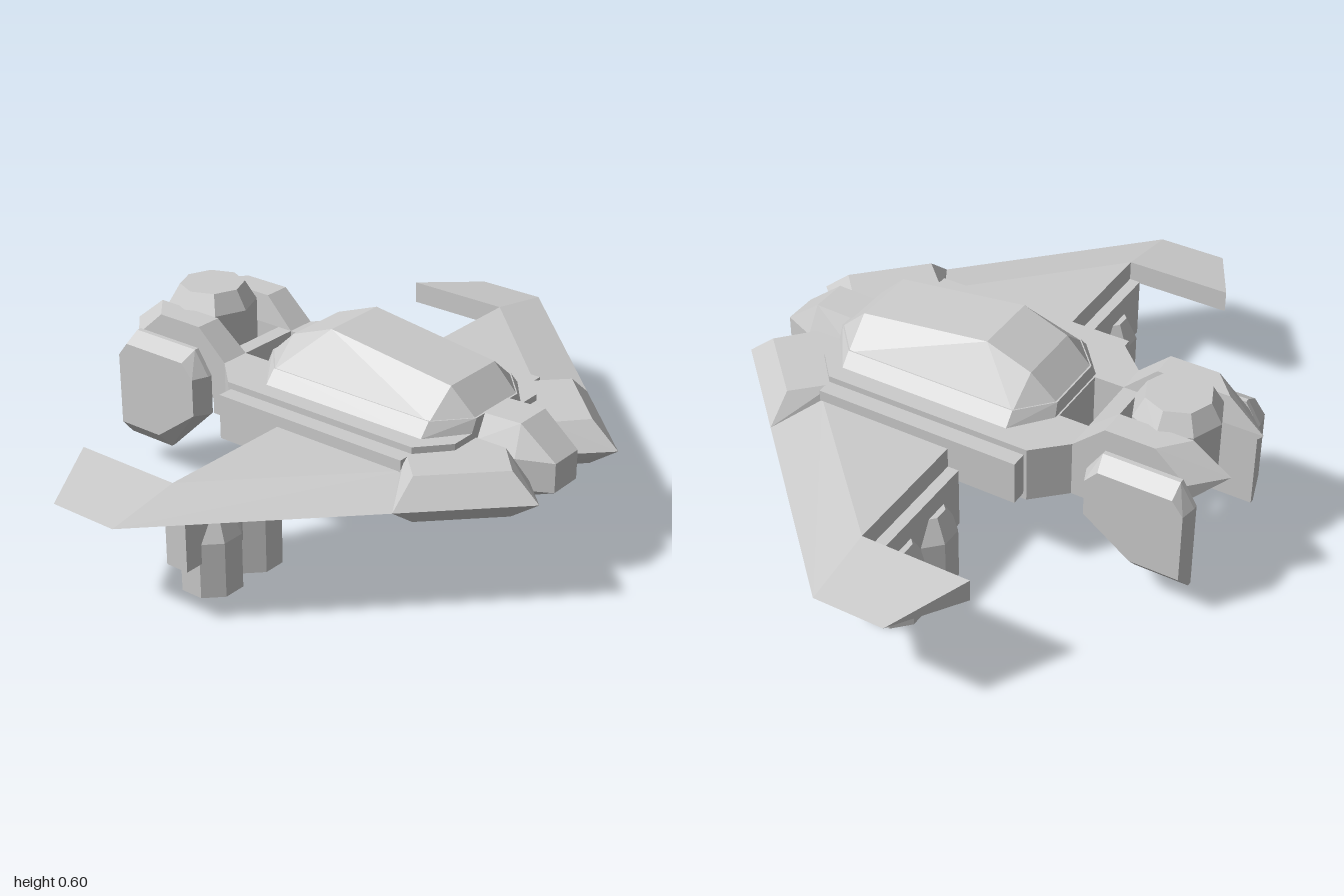
import * as THREE from 'three';
import { ConvexGeometry } from 'three/addons/geometries/ConvexGeometry.js';

const material = new THREE.MeshStandardMaterial({ color: 0xcccccc, flatShading: true });

export function createModel() {
  const ship = new THREE.Group();
  ship.name = 'spacecraft';

  const add = (name, geometry, x = 0, y = 0, z = 0) => {
    const mesh = new THREE.Mesh(geometry, material);
    mesh.name = name;
    mesh.position.set(x, y, z);
    ship.add(mesh);
    return mesh;
  };
  // Faceted solid around a few corner points; side = -1 mirrors it
  const solid = (name, points, side = 1) =>
    add(name, new ConvexGeometry(points.map(([x, y, z]) => new THREE.Vector3(x * side, y, z))));
  // Plan outline [x, z] placed at height y
  const ring = (y, outline) => outline.map(([x, z]) => [x, y, z]);
  // Both halves of a symmetric part
  const both = (points) => points.flatMap(([x, y, z]) => [[x, y, z], [-x, y, z]]);

  // Main hull with the open bay behind the cabin
  const half = [[0.2, 0.5], [0.29, 0.42], [0.29, -0.25], [0.2, -0.345], [0.2, -0.395]];
  const outline = [...half, ...half.map(([x, z]) => [-x, z]).reverse()];
  const hull = new THREE.Shape(outline.map(([x, z]) => new THREE.Vector2(x, -z)));
  hull.holes.push(new THREE.Path([[-0.105, 0.25], [-0.105, 0.345], [0.105, 0.345], [0.105, 0.25]]
    .map(([x, s]) => new THREE.Vector2(x, s))));
  const hullGeometry = new THREE.ExtrudeGeometry(hull, { depth: 0.18, bevelEnabled: false });
  hullGeometry.rotateX(-Math.PI / 2);
  add('hull', hullGeometry, 0, 0.25, 0);

  // Deck, canopy and belly share one chamfered plan
  const plan = [[0.1, 0.5], [0.2, 0.41], [0.2, -0.15], [0.1, -0.24]];
  solid('deck', both([
    ...ring(0.43, [[0.12, 0.5], [0.235, 0.41], [0.235, -0.15], [0.12, -0.245]]),
    ...ring(0.47, plan)]));
  solid('canopy', both([
    ...ring(0.465, plan),
    [0.105, 0.545, 0.415], [0.105, 0.6, -0.01], [0.105, 0.545, -0.155]]));
  solid('belly', both([
    ...ring(0.255, plan),
    ...ring(0.215, [[0.1, 0.44], [0.1, -0.2]])]));

  // Cockpit nose
  solid('cockpit', both([
    [0.06, 0.47, 0.48], [0.06, 0.475, 0.62], [0.1, 0.39, 0.48], [0.1, 0.385, 0.63],
    [0.1, 0.29, 0.48], [0.1, 0.29, 0.63], [0.06, 0.25, 0.48], [0.06, 0.25, 0.62],
    [0.055, 0.385, 0.735], [0.055, 0.295, 0.735]]));

  // Ball turret between the rear claws
  const profile = [[0, 0.27], [0.075, 0.27], [0.135, 0.36], [0.135, 0.51], [0.1, 0.57], [0, 0.57]];
  const turret = new THREE.LatheGeometry(profile.map(([r, y]) => new THREE.Vector2(r, y)), 8);
  add('turret', turret, 0, 0, -0.57);

  for (const side of [1, -1]) {
    // Forward prong with a sharp rim at mid height
    const face = [[0.1, 0.6], [0.2, 0.69], [0.39, 0.5], [0.29, 0.4], [0.1, 0.4]];
    solid('prong', [
      ...ring(0.41, face), ...ring(0.27, face),
      ...ring(0.335, [[0.1, 0.68], [0.2, 0.78], [0.48, 0.5], [0.34, 0.4]])], side);

    // Side sponson along the wing root
    add('sponson', new THREE.BoxGeometry(0.06, 0.14, 0.66), side * 0.31, 0.34, 0.09);

    // Wing: flat inner panel, tapered leading strip, swept-back tip
    const thick = (points) => [...ring(0.375, points), ...ring(0.305, points)];
    const root = [0.33, 0.42], rear = [0.33, -0.02], corner = [0.77, -0.02];
    const hook = [0.77, -0.36], tipFront = [1, -0.02], tipBack = [1, -0.24];
    solid('wingPanel', thick([root, rear, corner]), side);
    solid('wingLeadingEdge', [...thick([root, corner]), ...ring(0.335, [[0.48, 0.5], tipFront])], side);
    solid('wingTip', [...thick([corner, hook]), ...ring(0.335, [tipFront, tipBack])], side);

    // Pylon and its pair of vertical thrusters
    add('pylon', new THREE.BoxGeometry(0.43, 0.2, 0.075), side * 0.555, 0.21, -0.018);
    for (const x of [0.46, 0.63]) {
      const body = new THREE.CylinderGeometry(0.092, 0.092, 0.17, 8);
      const cap = new THREE.CylinderGeometry(0.057, 0.092, 0.075, 8);
      for (const g of [body, cap]) g.rotateY(Math.PI / 8);
      add('thruster', body, side * x, 0.085, -0.02);
      add('thrusterCap', cap, side * x, 0.2075, -0.02);
    }

    // Rear claw, cut diagonally at its back end
    solid('claw', [
      [0.105, 0.43, -0.345], [0.2, 0.43, -0.345], [0.105, 0.3, -0.395], [0.2, 0.3, -0.395],
      [0.115, 0.52, -0.445], [0.2, 0.52, -0.445], [0.115, 0.52, -0.675], [0.2, 0.52, -0.6],
      [0.105, 0.43, -0.79], [0.2, 0.43, -0.7], [0.105, 0.375, -0.735], [0.2, 0.375, -0.7]], side);

    // Hanging fin with a bevelled outer face
    const fin = [[0.375, -0.4], [0.45, -0.45], [0.45, -0.69], [0.375, -0.735],
      [0.09, -0.735], [0.09, -0.565], [0.25, -0.4]];
    const finFace = [[0.375, -0.42], [0.42, -0.46], [0.42, -0.69], [0.375, -0.725],
      [0.145, -0.725], [0.145, -0.57], [0.255, -0.42]];
    solid('fin', [
      ...fin.map(([y, z]) => [0.2, y, z]),
      ...fin.map(([y, z]) => [0.215, y, z]),
      ...finFace.map(([y, z]) => [0.265, y, z])], side);
  }
  return ship;
}
